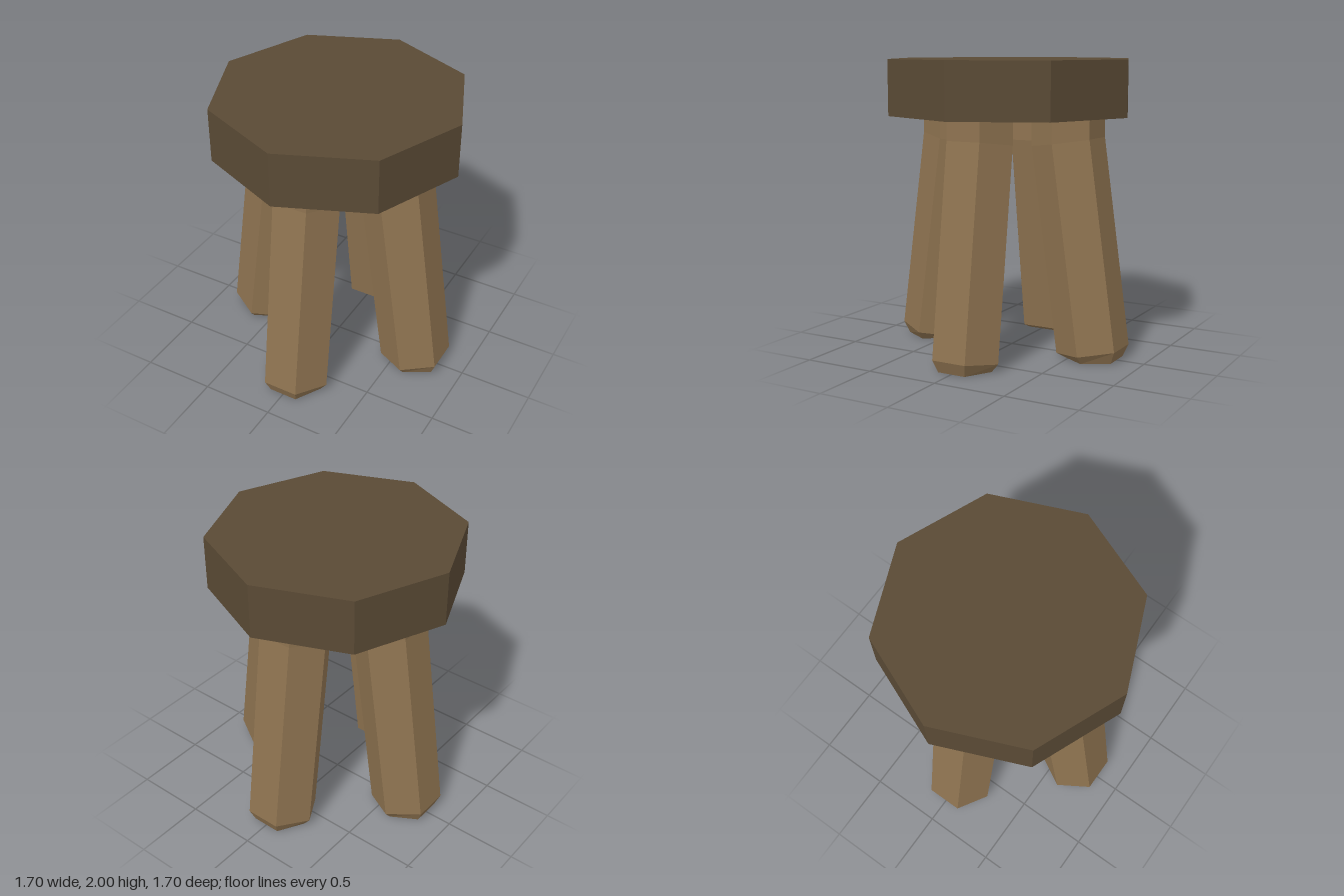
import * as THREE from 'three';

// Hexagonal leg pointing towards +z: rings from the seat down to the bevelled foot
// y, z: ring centre; r: ring radius; tilt: rise of the ring per unit outwards
const LEG_RINGS = [
  { y: 1.64, z: 0.43, r: 0.245, tilt: 0 },
  { y: 1.455, z: 0.43, r: 0.245, tilt: 0.14 },
  { y: 0.055, z: 0.625, r: 0.245, tilt: 0.14 },
  { y: 0, z: 0.63, r: 0.2, tilt: 0 },
];

function legGeometry() {
  const geometry = new THREE.CylinderGeometry(1, 1, 3, 6, 3, false, Math.PI / 2);
  const pos = geometry.attributes.position;
  for (let i = 0; i < pos.count; i++) {
    const ring = LEG_RINGS[Math.round(1.5 - pos.getY(i))];
    const dx = pos.getX(i) * ring.r;
    const dz = pos.getZ(i) * ring.r;
    pos.setXYZ(i, dx, ring.y + dz * ring.tilt, ring.z + dz);
  }
  const flat = geometry.toNonIndexed();
  flat.computeVertexNormals();
  return flat;
}

export function createModel() {
  const stool = new THREE.Group();
  stool.name = 'stool';

  const seatWood = new THREE.MeshStandardMaterial({ color: 0x5a4a35, flatShading: true });
  const legWood = new THREE.MeshStandardMaterial({ color: 0x8e7350, flatShading: true });

  // Thick octagonal seat with corners on the axes
  const seat = new THREE.Mesh(new THREE.CylinderGeometry(0.852, 0.852, 0.375, 8), seatWood);
  seat.name = 'seat';
  seat.position.y = 2 - 0.375 / 2;
  stool.add(seat);

  // Four splayed legs, a quarter turn apart
  const geometry = legGeometry();
  ['frontLeg', 'leftLeg', 'backLeg', 'rightLeg'].forEach((name, i) => {
    const leg = new THREE.Mesh(geometry, legWood);
    leg.name = name;
    leg.rotation.y = (i * Math.PI) / 2;
    stool.add(leg);
  });

  return stool;
}
